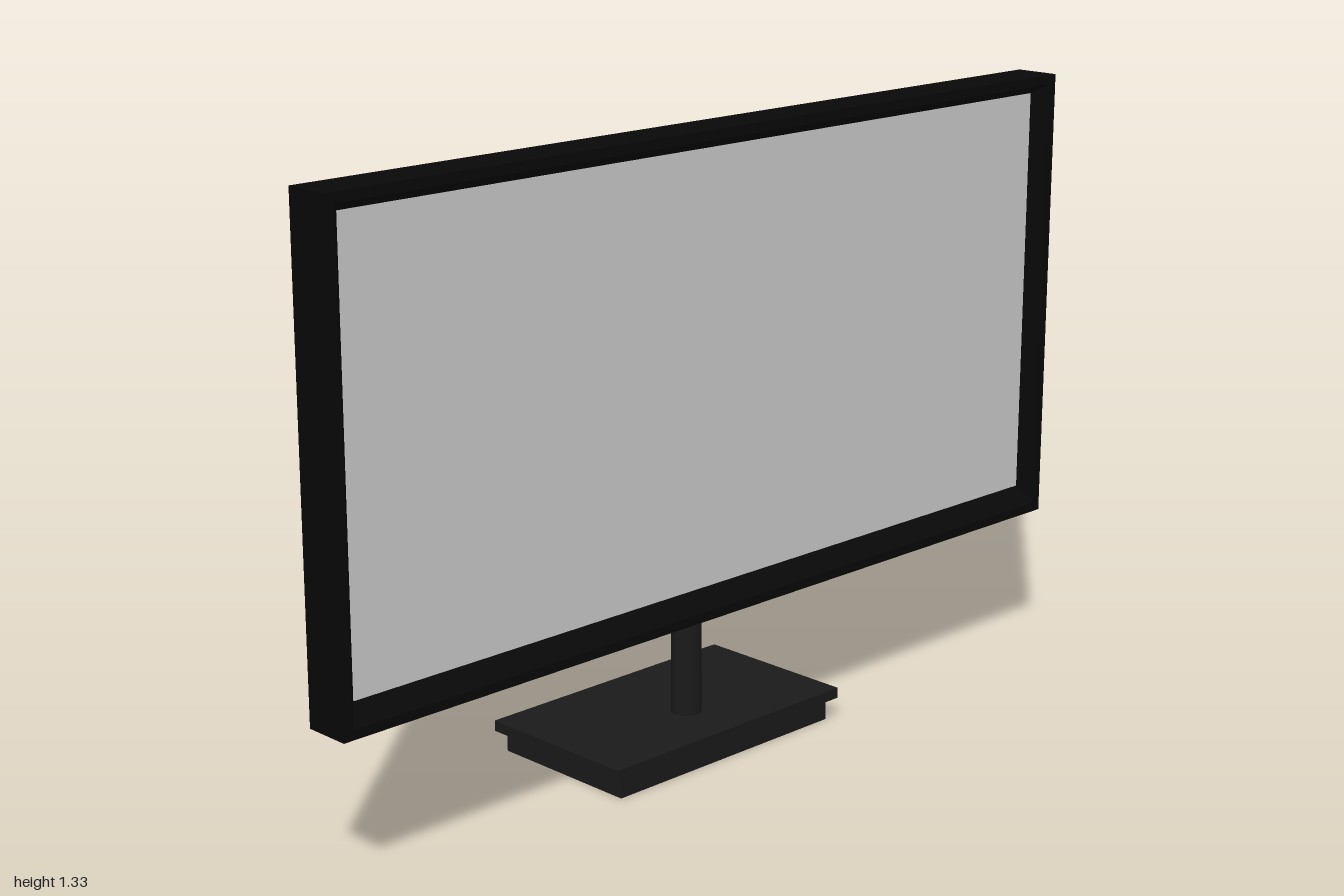
import * as THREE from 'three';

const shell = new THREE.MeshStandardMaterial({ color: 0x080808 });
const stand = new THREE.MeshStandardMaterial({ color: 0x1a1a1a });
const glass = new THREE.MeshStandardMaterial({ color: 0xcccccc });

function addMesh(group, name, geometry, material, x = 0, y = 0, z = 0) {
  const mesh = new THREE.Mesh(geometry, material);
  mesh.name = name;
  mesh.position.set(x, y, z);
  group.add(mesh);
  return mesh;
}

// Box given by width, depth and its bottom and top heights
function addSlab(group, name, w, d, y0, y1) {
  addMesh(group, name, new THREE.BoxGeometry(w, y1 - y0, d), stand, 0, (y0 + y1) / 2, 0);
}

// Rectangular rings [halfWidth, bottom, top, z] joined in order, first ring capped
function ringGeometry(rings) {
  const loops = rings.map(([w, b, t, z]) => [[-w, b, z], [w, b, z], [w, t, z], [-w, t, z]]);
  const pos = [];
  const quad = (a, b, c, d) => pos.push(...a, ...b, ...c, ...a, ...c, ...d);
  for (let r = 0; r < loops.length - 1; r++) {
    for (let i = 0; i < 4; i++) {
      const j = (i + 1) % 4;
      quad(loops[r][i], loops[r][j], loops[r + 1][j], loops[r + 1][i]);
    }
  }
  const [a, b, c, d] = loops[0];
  quad(d, c, b, a);
  const geometry = new THREE.BufferGeometry();
  geometry.setAttribute('position', new THREE.Float32BufferAttribute(pos, 3));
  geometry.computeVertexNormals();
  return geometry;
}

export function createModel() {
  const model = new THREE.Group();
  model.name = 'monitor';

  // Display casing: back, sides, thin rim and bezel sloping in to the screen
  addMesh(model, 'displayCasing', ringGeometry([
    [1, 0.325, 1.325, 0.09],
    [1, 0.325, 1.325, 0.19],
    [0.98, 0.345, 1.305, 0.19],
    [0.953, 0.385, 1.285, 0.16],
  ]), shell);
  addMesh(model, 'screen', new THREE.PlaneGeometry(1.906, 0.9), glass, 0, 0.835, 0.16);

  // Rear housing: side profile with a rounded upper back edge (shape x = -z)
  const profile = new THREE.Shape();
  profile.moveTo(-0.092, 0.615);
  profile.lineTo(0, 0.615);
  profile.lineTo(0, 0.955);
  profile.bezierCurveTo(0, 1.0, -0.012, 1.033, -0.032, 1.033);
  profile.lineTo(-0.092, 1.033);
  profile.closePath();
  const housing = new THREE.ExtrudeGeometry(profile, { depth: 0.6, bevelEnabled: false, curveSegments: 8 });
  housing.translate(0, 0, -0.3);
  housing.rotateY(Math.PI / 2);
  addMesh(model, 'rearHousing', housing, stand);

  // Stand: round post on a two-step base
  addMesh(model, 'post', new THREE.CylinderGeometry(0.032, 0.032, 0.58, 32), stand, 0, 0.35, 0.052);
  addSlab(model, 'basePlate', 0.65, 0.374, 0.047, 0.07);
  addSlab(model, 'baseFoot', 0.606, 0.346, 0, 0.047);

  return model;
}
